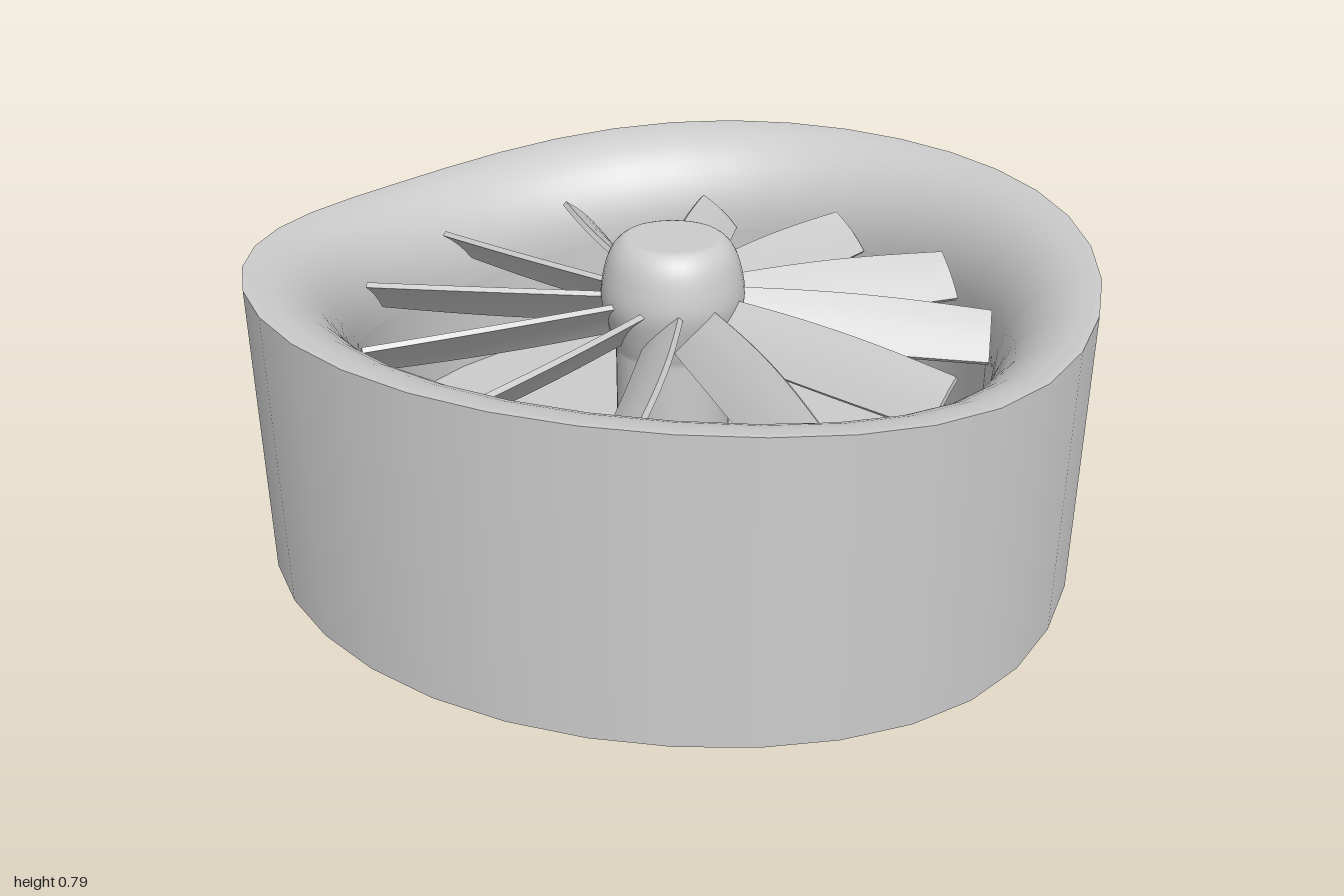
import * as THREE from 'three';

const SEGMENTS = 36;
const V = (x, y) => new THREE.Vector2(x, y);

export function createModel() {
  const group = new THREE.Group();
  const material = new THREE.MeshStandardMaterial({ color: 0xcccccc, side: THREE.DoubleSide });

  const add = (name, geometry, parent = group) => {
    const mesh = new THREE.Mesh(geometry, material);
    mesh.name = name;
    parent.add(mesh);
    return mesh;
  };

  // Ring whose edges rise towards the sides in a smooth saddle wave
  const saddleRing = (points) => {
    const g = new THREE.LatheGeometry(points, SEGMENTS);
    const p = g.attributes.position;
    for (let i = 0; i < p.count; i++) {
      const side = Math.abs(p.getX(i)) / Math.hypot(p.getX(i), p.getZ(i));
      p.setY(i, p.getY(i) + 0.09 * side * side * (2.4 - 1.4 * side));
    }
    return g;
  };

  // Housing: outer wall, thin lip, rounded intake and straight throat
  add('outerWall', saddleRing([V(1, 0), V(1, 0.705)]));
  add('lip', saddleRing([V(1, 0.705), V(0.988, 0.705)]));
  const flare = [];
  for (let i = 0; i <= 12; i++) {
    const t = (1 - i / 12) * Math.PI / 2;
    flare.push(V(0.988 - 0.213 * Math.cos(t), 0.45 + 0.255 * Math.sin(t)));
  }
  add('intakeFlare', saddleRing(flare));
  add('throat', saddleRing([V(0.775, 0.45), V(0.775, 0.03)]));

  // Flat plate closing the throat
  const plate = new THREE.CircleGeometry(0.774, SEGMENTS);
  plate.rotateX(-Math.PI / 2);
  add('backPlate', plate).position.y = 0.21;

  // Hub with a flat-topped rounded cap
  const cap = new THREE.SplineCurve([
    V(0.14, 0.5), V(0.16, 0.57), V(0.175, 0.64), V(0.165, 0.71), V(0.148, 0.755), V(0.122, 0.782), V(0.1, 0.785),
  ]).getPoints(20);
  add('hub', new THREE.LatheGeometry([V(0.14, 0.21), ...cap, V(0, 0.785)], SEGMENTS));

  // Twisted, slightly bowed fan blade
  const length = 0.632;
  const width = 0.145;
  const blade = new THREE.BoxGeometry(length, 0.014, width, 12, 1, 4);
  const p = blade.attributes.position;
  for (let i = 0; i < p.count; i++) {
    const s = p.getX(i) / length + 0.5;
    const across = p.getZ(i) / (width / 2);
    const bulge = Math.sin(Math.PI * s);
    const chord = p.getZ(i) * (0.93 + 0.1 * bulge);
    const t = p.getY(i) + 0.006 * (1 - across * across);
    const a = THREE.MathUtils.lerp(0.84, 0.76, s);
    p.setXYZ(i,
      0.13 + length * s,
      0.595 - 0.015 * s - chord * Math.sin(a) + t * Math.cos(a),
      chord * Math.cos(a) + t * Math.sin(a) - 0.009 * bulge);
  }
  blade.computeVertexNormals();

  const fan = new THREE.Group();
  fan.name = 'fan';
  group.add(fan);
  for (let i = 0; i < 12; i++) add('blade', blade, fan).rotation.y = (i * Math.PI) / 6;

  return group;
}
